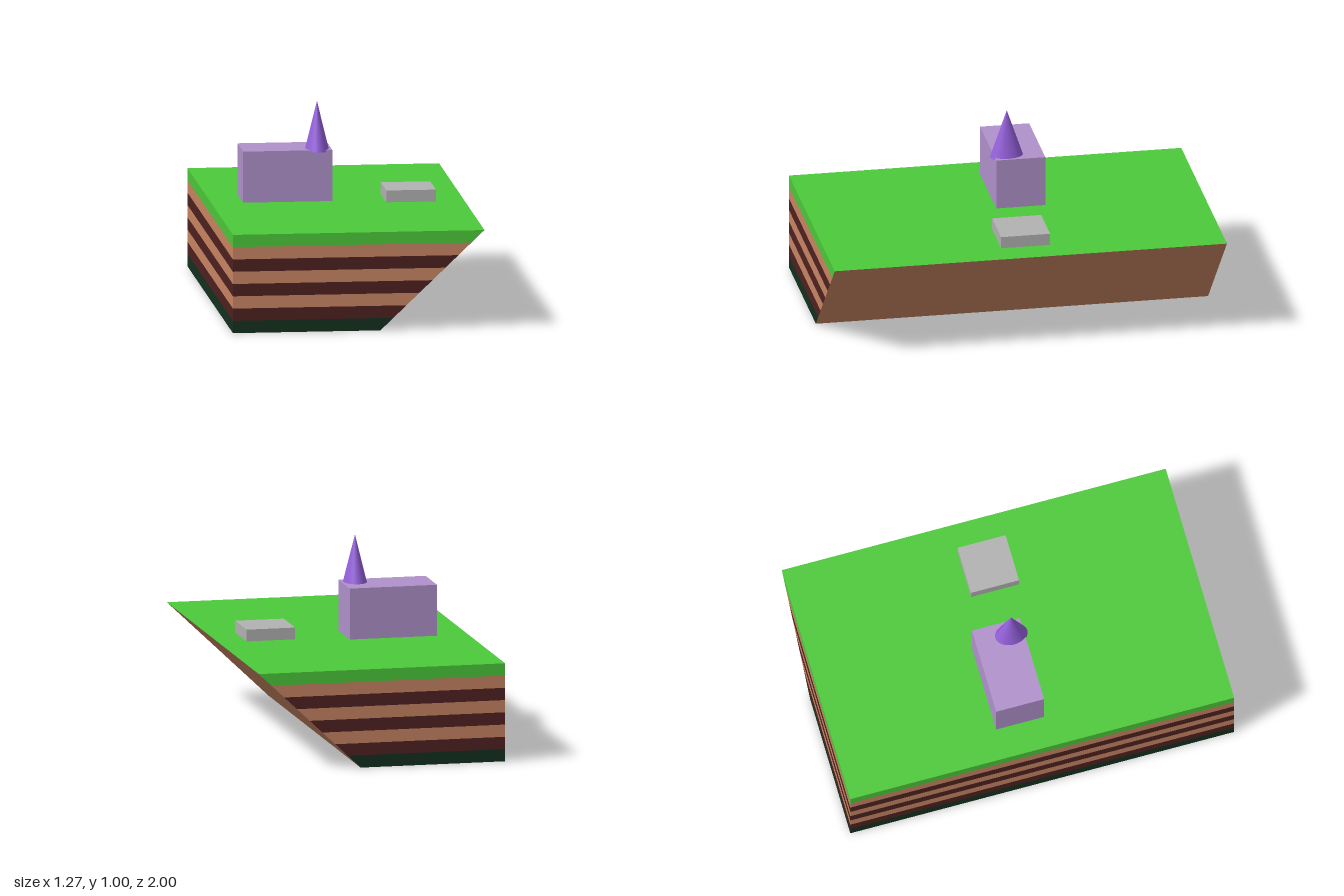
import * as THREE from 'three';

const mat = (color) => new THREE.MeshStandardMaterial({ color });

export function createModel() {
  const group = new THREE.Group();
  const add = (name, geometry, material, x, y, z) => {
    const mesh = new THREE.Mesh(geometry, material);
    mesh.name = name;
    mesh.position.set(x, y, z);
    group.add(mesh);
    return mesh;
  };

  // Ground: stacked strata with a sloping right end
  const left = -0.635, depth = 2, layerHeight = 0.0625;
  const slopeX = (y) => 0.11 + (0.635 - 0.11) * (y / 0.5);
  const grass = mat(0x4cc93a), clay = mat(0xc98563), soil = mat(0x4f2120), bedrock = mat(0x13301f);
  const strata = [bedrock, soil, clay, soil, clay, soil, clay, grass];
  strata.forEach((m, i) => {
    const geo = new THREE.BoxGeometry(1, layerHeight, depth);
    const p = geo.attributes.position;
    const base = (i + 0.5) * layerHeight;
    for (let v = 0; v < p.count; v++) {
      p.setX(v, p.getX(v) < 0 ? left : slopeX(base + p.getY(v)));
    }
    geo.computeVertexNormals();
    // The sloping face (+x) is bare clay on every layer
    const name = i === strata.length - 1 ? 'grassLayer' : `groundLayer${i + 1}`;
    add(name, geo, [clay, m, m, m, m, m], 0, base, 0);
  });

  // Building block
  add('building', new THREE.BoxGeometry(0.45, 0.26, 0.25), mat(0xb092cb), -0.25, 0.63, -0.07);

  // Oval spire, slightly overhanging the building's front
  const spire = add('spire', new THREE.ConeGeometry(1, 0.25, 32), mat(0x9560dc), -0.095, 0.875, -0.011);
  spire.scale.set(0.061, 1, 0.085);

  // Low stone pad
  add('stonePad', new THREE.BoxGeometry(0.25, 0.06, 0.25), mat(0xb2b2b2), 0.365, 0.53, 0);

  return group;
}
